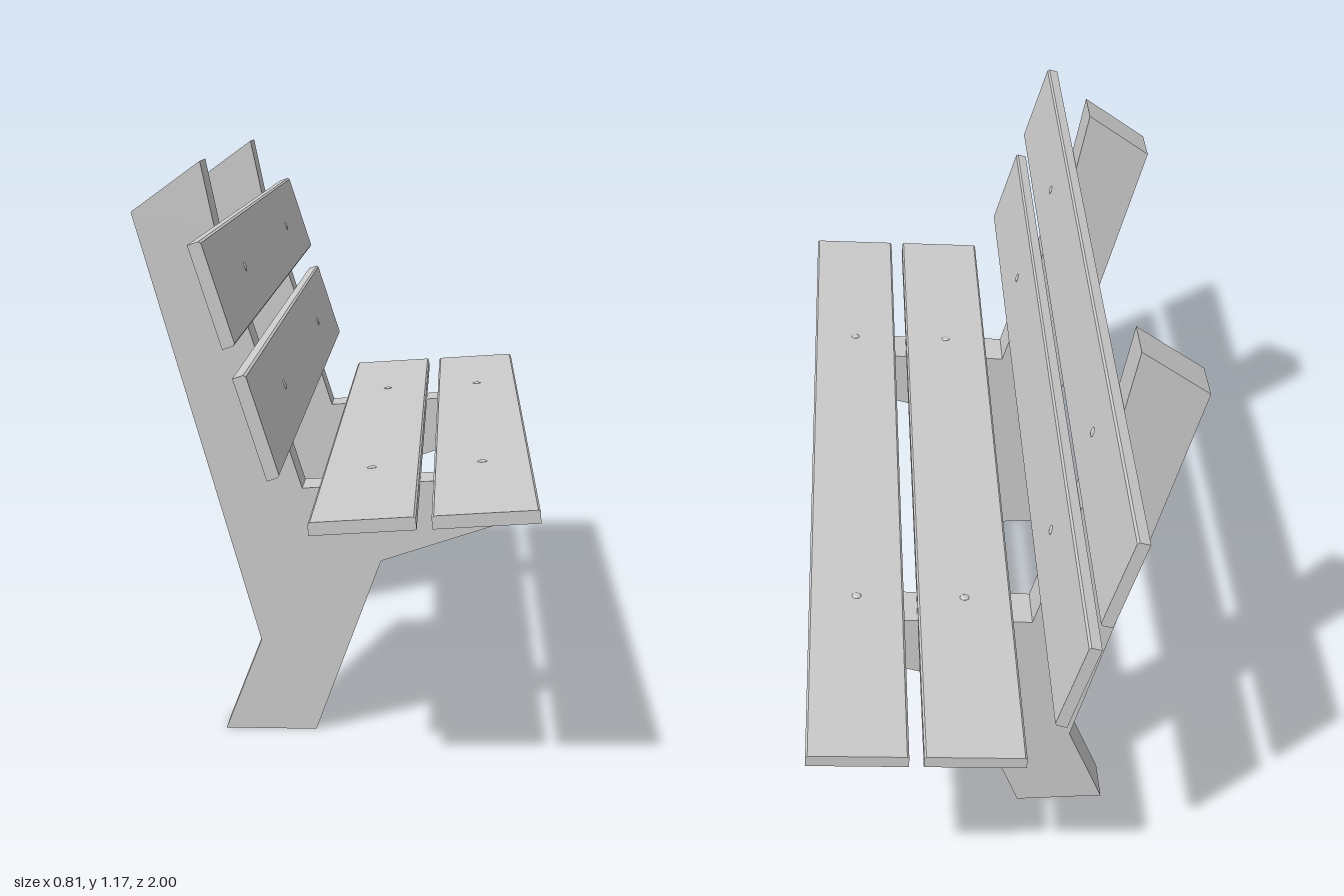
import * as THREE from 'three';

const material = new THREE.MeshStandardMaterial({ color: 0xcccccc });

// Extrude an xy outline along z, centred on z = 0
function extrudeZ(points, depth) {
  const shape = new THREE.Shape(points.map(([x, y]) => new THREE.Vector2(x, y)));
  return new THREE.ExtrudeGeometry(shape, { depth, bevelEnabled: false }).translate(0, 0, -depth / 2);
}

function addMesh(parent, name, geometry) {
  const mesh = new THREE.Mesh(geometry, material);
  mesh.name = name;
  parent.add(mesh);
  return mesh;
}

export function createModel() {
  const bench = new THREE.Group();
  bench.name = 'bench';
  const supportZ = 0.515;

  // Y-shaped side supports: foot, seat arm and leaning back post in one piece
  const supportGeometry = extrudeZ([
    [-0.222, 0], [-0.035, 0], [0.098, 0.36], [0.333, 0.438], [0.375, 0.539],
    [-0.063, 0.51], [-0.238, 1.045], [-0.265, 1.172], [-0.405, 1.07], [-0.148, 0.19],
  ], 0.095);
  for (const side of [-1, 1]) {
    addMesh(bench, side > 0 ? 'leftSupport' : 'rightSupport', supportGeometry).position.z = side * supportZ;
  }

  // Plank section with softened edges on its outer face (local +y)
  const w = 0.099, h = 0.0125, c = 0.004;
  const slatGeometry = extrudeZ([
    [-w, -h], [w, -h], [w, h - c], [w - c, h], [-w + c, h], [-w, h - c],
  ], 2);

  // Low domed bolt head
  const boltGeometry = new THREE.SphereGeometry(0.01, 12, 4, 0, Math.PI * 2, 0, Math.PI / 2).scale(1, 0.35, 1);

  // Slats: name, centre x, centre y, tilt
  const slats = [
    ['rearSeatSlat', 0.078, 0.5325, 0.068],
    ['frontSeatSlat', 0.304, 0.5475, 0.068],
    ['lowerBackSlat', -0.114, 0.712, -1.255],
    ['upperBackSlat', -0.193, 0.953, -1.255],
  ];
  for (const [name, x, y, tilt] of slats) {
    const slat = new THREE.Group();
    slat.name = name;
    slat.position.set(x, y, 0);
    slat.rotation.z = tilt;
    addMesh(slat, 'plank', slatGeometry);
    for (const side of [-1, 1]) {
      addMesh(slat, 'boltHead', boltGeometry).position.set(0, h, side * supportZ);
    }
    bench.add(slat);
  }
  return bench;
}
